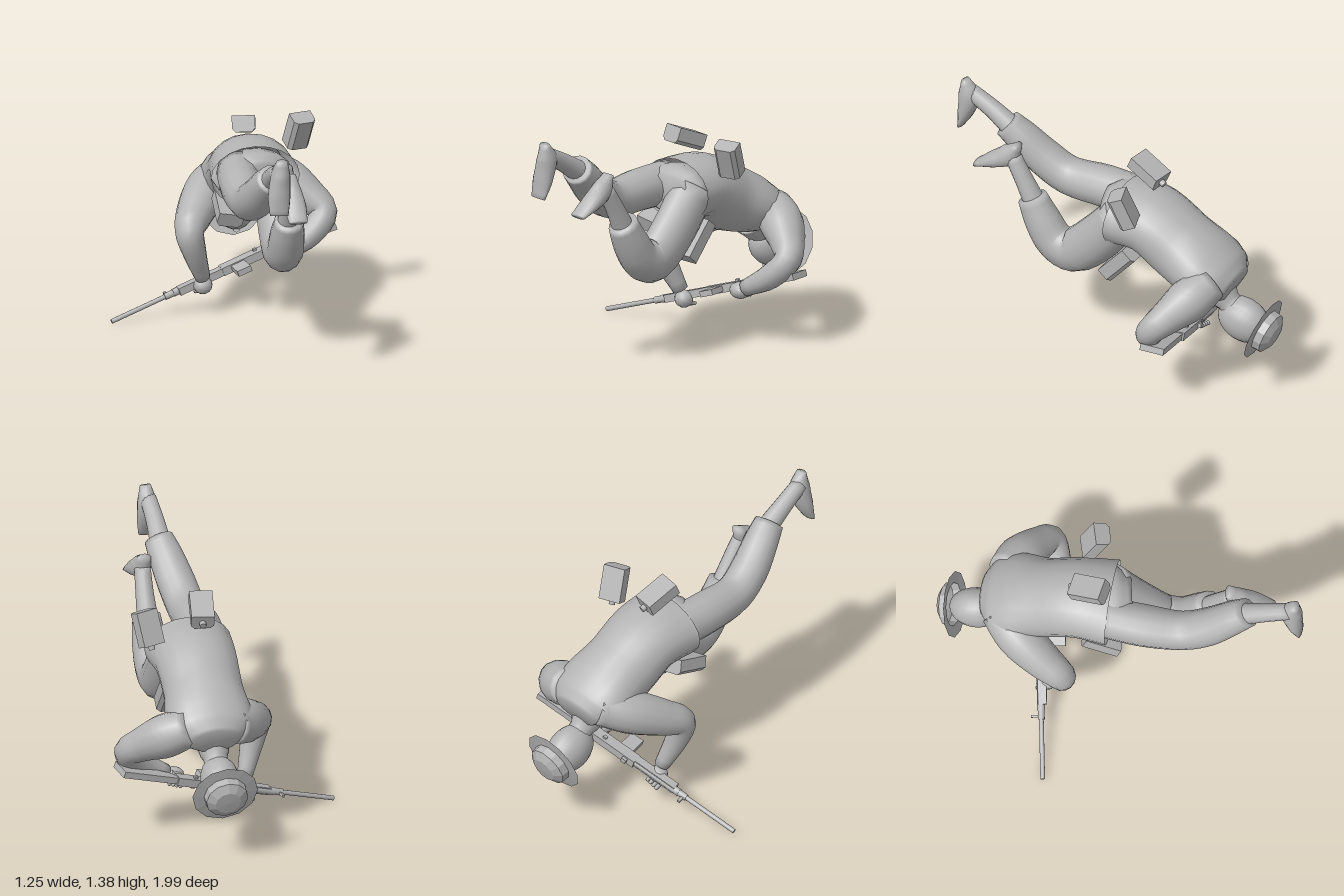
import * as THREE from 'three';

const V = (x, y, z) => new THREE.Vector3(x, y, z);

// Rotation whose y axis follows "axis" and whose x axis is as near "side" as possible
function basis(axis, side = V(1, 0, 0)) {
  const y = axis.clone().normalize();
  const x = side.clone().addScaledVector(y, -side.dot(y)).normalize();
  const z = x.clone().cross(y);
  return new THREE.Quaternion().setFromRotationMatrix(new THREE.Matrix4().makeBasis(x, y, z));
}

// Smooth tube of elliptical sections; each row is x, y, z, width radius, depth radius
function loft(rows, { sides = 14, steps = 4, capStart = true, capEnd = true } = {}) {
  const path = new THREE.CatmullRomCurve3(rows.map(r => V(r[0], r[1], r[2])));
  const size = new THREE.CatmullRomCurve3(rows.map(r => V(r[3], r[4] ?? r[3], 0)));
  const n = (rows.length - 1) * steps;
  const pos = [], idx = [];
  for (let i = 0; i <= n; i++) {
    const c = path.getPoint(i / n), r = size.getPoint(i / n), t = path.getTangent(i / n);
    const s = V(1, 0, 0).addScaledVector(t, -t.x).normalize();
    const b = t.clone().cross(s);
    for (let j = 0; j < sides; j++) {
      const a = j / sides * Math.PI * 2;
      const p = c.clone().addScaledVector(s, Math.cos(a) * r.x).addScaledVector(b, Math.sin(a) * r.y);
      pos.push(p.x, p.y, p.z);
    }
  }
  for (let i = 0; i < n; i++) for (let j = 0; j < sides; j++) {
    const k = (j + 1) % sides, a = i * sides, d = a + sides;
    idx.push(a + j, a + k, d + k, a + j, d + k, d + j);
  }
  const cap = (row, ring, flip) => {
    const c = pos.length / 3;
    pos.push(row[0], row[1], row[2]);
    for (let j = 0; j < sides; j++) {
      const k = (j + 1) % sides;
      idx.push(c, ring + (flip ? k : j), ring + (flip ? j : k));
    }
  };
  if (capStart) cap(rows[0], 0, true);
  if (capEnd) cap(rows[rows.length - 1], n * sides, false);
  const g = new THREE.BufferGeometry();
  g.setAttribute('position', new THREE.Float32BufferAttribute(pos, 3));
  g.setIndex(idx);
  g.computeVertexNormals();
  return g;
}

export function createModel() {
  const root = new THREE.Group();
  const grey = new THREE.MeshStandardMaterial({ color: 0xb4b4b4, side: THREE.DoubleSide });
  grey.name = 'plain grey';
  const add = (name, geo, parent = root) => {
    const m = new THREE.Mesh(geo, grey);
    m.name = name;
    parent.add(m);
    return m;
  };

  // Jacket, open at the hem
  add('jacket', loft([
    [0.115, 0.90, -0.04, 0.24, 0.17], [0.115, 0.89, -0.22, 0.222, 0.175],
    [0.12, 0.79, -0.40, 0.215, 0.185], [0.13, 0.725, -0.55, 0.235, 0.165],
    [0.135, 0.68, -0.66, 0.22, 0.13], [0.135, 0.65, -0.73, 0.13, 0.08],
  ], { sides: 20, capStart: false }));

  // Legs: the right one stretched out, the left one folded under
  add('hips', loft([
    [0.11, 0.91, -0.14, 0.18, 0.12], [0.12, 0.91, -0.03, 0.2, 0.14], [0.14, 0.91, 0.06, 0.13, 0.1],
  ]));
  add('rightTrouserLeg', loft([
    [0.02, 0.92, -0.08, 0.11, 0.12], [0.01, 0.92, 0.14, 0.115, 0.115], [0.02, 0.92, 0.36, 0.105, 0.105],
    [0.04, 1.0, 0.50, 0.105, 0.1], [0.07, 1.11, 0.62, 0.095, 0.09], [0.09, 1.18, 0.70, 0.08, 0.08],
  ]));
  add('leftTrouserLeg', loft([
    [0.205, 0.92, -0.08, 0.12, 0.12], [0.21, 0.74, 0.06, 0.11, 0.13], [0.21, 0.595, 0.23, 0.105, 0.125],
    [0.215, 0.62, 0.33, 0.1, 0.11], [0.215, 0.73, 0.41, 0.095, 0.1], [0.215, 0.855, 0.475, 0.075, 0.083],
  ]));
  add('rightAnkle', loft([
    [0.085, 1.15, 0.66, 0.06], [0.085, 1.24, 0.80, 0.05], [0.09, 1.31, 0.93, 0.045],
  ]));
  add('leftAnkle', loft([
    [0.21, 0.82, 0.46, 0.06], [0.21, 0.95, 0.53, 0.05], [0.205, 1.07, 0.60, 0.045],
  ]));
  add('rightBoot', loft([
    [0.1, 1.38, 0.957, 0.03, 0.02], [0.095, 1.29, 0.935, 0.053, 0.06],
    [0.085, 1.18, 0.955, 0.06, 0.045], [0.08, 1.08, 0.985, 0.05, 0.015],
  ]));
  add('leftBoot', loft([
    [0.2, 1.145, 0.57, 0.035, 0.02], [0.205, 1.07, 0.625, 0.053, 0.06],
    [0.21, 1.02, 0.71, 0.06, 0.045], [0.21, 0.965, 0.815, 0.05, 0.015],
  ]));

  // Sleeves
  add('rightSleeve', loft([
    [0.04, 0.70, -0.64, 0.11], [-0.07, 0.65, -0.52, 0.12], [-0.165, 0.575, -0.36, 0.1],
    [-0.205, 0.52, -0.265, 0.08], [-0.18, 0.40, -0.27, 0.065], [-0.125, 0.225, -0.33, 0.042],
  ]));
  add('leftSleeve', loft([
    [0.25, 0.71, -0.65, 0.1], [0.37, 0.65, -0.59, 0.12], [0.48, 0.58, -0.52, 0.095],
    [0.55, 0.51, -0.455, 0.075], [0.47, 0.41, -0.40, 0.068], [0.32, 0.32, -0.365, 0.045],
  ]));

  // Hands with fingers bent around the rifle
  const hand = (name, x, y, z, sx, sy, sz, step) => {
    const g = new THREE.Group();
    g.name = name;
    root.add(g);
    const palm = add(name + 'Palm', new THREE.SphereGeometry(1, 12, 8), g);
    palm.position.set(x, y, z);
    palm.scale.set(sx, sy, sz);
    for (let i = 0; i < 4; i++) {
      const f = add(name + 'Finger', new THREE.CapsuleGeometry(0.012, 0.05, 3, 6), g);
      f.position.set(x + (i - 1.5) * step.x, y - sy * 0.65 + (i - 1.5) * step.y, z - 0.025);
      f.quaternion.copy(basis(V(0, 0.35, 1)));
    }
  };
  hand('rightHand', -0.12, 0.17, -0.35, 0.052, 0.048, 0.05, V(0.022, 0.007, 0));
  hand('leftHand', 0.28, 0.30, -0.365, 0.062, 0.045, 0.05, V(0.02, 0.007, 0));

  // Neck and head
  add('neck', loft([[0.125, 0.62, -0.60, 0.1], [0.125, 0.55, -0.665, 0.08], [0.125, 0.47, -0.75, 0.08]]));
  const hatAxis = V(0, -0.3, -0.95);
  const head = add('head', new THREE.SphereGeometry(1, 18, 14));
  head.position.set(0.122, 0.44, -0.78);
  head.scale.set(0.105, 0.15, 0.125);
  head.quaternion.copy(basis(hatAxis));
  const nose = add('nose', new THREE.ConeGeometry(0.022, 0.05, 6));
  nose.position.set(0.122, 0.32, -0.75);
  nose.quaternion.copy(basis(V(0, -0.5, -0.87)));

  // Round hat with a flat brim
  const profile = [[0.18, 0], [0.118, 0.006], [0.115, 0.05], [0.07, 0.078], [0, 0.082]];
  const hatGeo = new THREE.LatheGeometry(profile.map(p => new THREE.Vector2(...p)), 12).toNonIndexed();
  hatGeo.computeVertexNormals();
  const hat = add('hat', hatGeo);
  hat.position.set(0.125, 0.42, -0.90);
  hat.quaternion.copy(basis(hatAxis));

  // Packs: a box with bevelled long edges, and an optional cap at its far end
  const pack = (name, centre, axis, side, w, l, t, cap) => {
    const g = new THREE.Group();
    g.name = name;
    g.position.copy(centre);
    g.quaternion.copy(basis(axis, side));
    root.add(g);
    const c = 0.02, a = w / 2, b = t / 2;
    const s = new THREE.Shape([[-a, -b], [a, -b], [a, b - c], [a - c, b], [c - a, b], [-a, b - c]]
      .map(p => new THREE.Vector2(...p)));
    const geo = new THREE.ExtrudeGeometry(s, { depth: l, bevelEnabled: false });
    geo.translate(0, 0, -l / 2).rotateX(-Math.PI / 2);
    add(name + 'Body', geo, g);
    if (cap) add(name + 'Cap', new THREE.CylinderGeometry(0.018, 0.018, 0.03, 8), g).position.y = l / 2 + 0.01;
  };
  pack('sideCanteen', V(0.375, 1.095, -0.18), V(-0.03, -0.19, -0.075), V(1, 0, -0.3), 0.125, 0.19, 0.09, true);
  pack('backCanteen', V(0.07, 1.16, -0.16), V(0.03, -0.075, -0.18), V(1, 0, 0.1), 0.125, 0.19, 0.09, true);
  pack('leftPouch', V(0.215, 0.635, -0.08), V(0, 0.2, -0.17), V(1, 0, 0), 0.14, 0.23, 0.09, false);
  pack('rightPouch', V(-0.03, 0.715, -0.07), V(0, 0.06, -0.17), V(1, -0.22, 0), 0.14, 0.2, 0.085, false);

  // Rifle, built along x from muzzle to butt, with its sights towards y
  const rifle = new THREE.Group();
  rifle.name = 'rifle';
  rifle.position.set(-0.625, 0.018, -0.285);
  const d = V(1.23, 0.41, -0.255).normalize();
  const up = V(0, 0, -1).addScaledVector(d, d.z).normalize();
  rifle.quaternion.setFromRotationMatrix(new THREE.Matrix4().makeBasis(d, up, d.clone().cross(up)));
  root.add(rifle);
  const rod = (name, r, from, to, y = 0) => {
    const g = new THREE.CylinderGeometry(r, r, to - from, 10).rotateZ(Math.PI / 2);
    add(name, g, rifle).position.set((from + to) / 2, y, 0);
  };
  const block = (name, from, to, y0, y1, w) =>
    add(name, new THREE.BoxGeometry(to - from, y1 - y0, w), rifle).position.set((from + to) / 2, (y0 + y1) / 2, 0);
  rod('barrel', 0.013, 0, 0.36);
  rod('gasBlock', 0.019, 0.32, 0.38);
  rod('foreBarrel', 0.022, 0.37, 0.68);
  block('frontSight', 0.33, 0.345, 0, 0.055, 0.012);
  block('handguard', 0.40, 0.66, -0.032, 0.015, 0.042);
  block('receiver', 0.66, 0.98, -0.035, 0.028, 0.045);
  block('rearSight', 0.70, 0.73, 0.02, 0.045, 0.025);
  block('magazine', 0.71, 0.79, -0.14, -0.03, 0.032);
  block('boltHandle', 0.86, 0.88, -0.005, 0.012, 0.07);
  block('pistolGrip', 0.93, 0.97, -0.11, -0.03, 0.032);
  const stock = new THREE.Shape([[0.96, 0.018], [1.31, 0.018], [1.31, -0.115], [1.0, -0.04]]
    .map(p => new THREE.Vector2(...p)));
  add('stock', new THREE.ExtrudeGeometry(stock, { depth: 0.036, bevelEnabled: false }).translate(0, 0, -0.018), rifle);

  return root;
}
